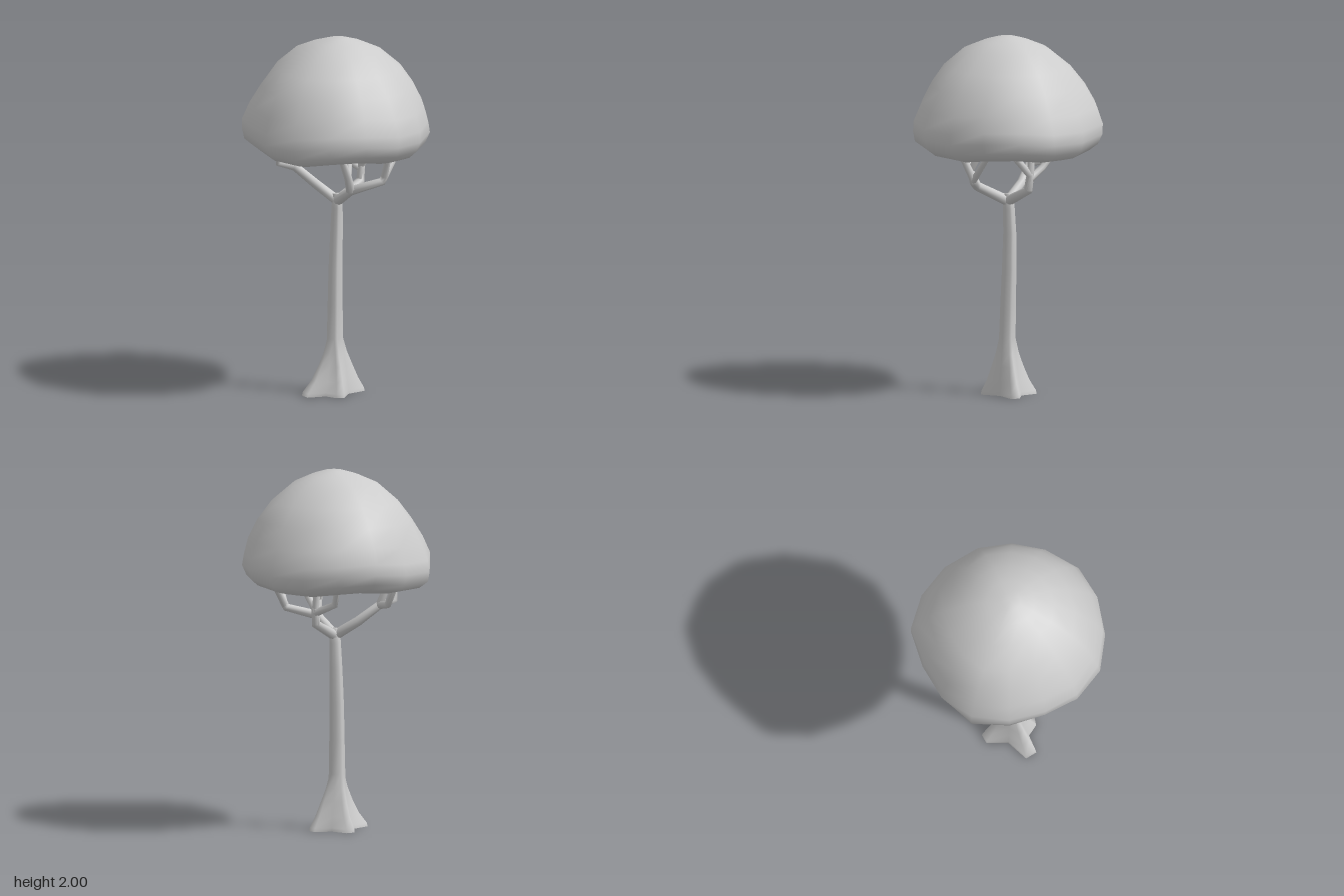
import * as THREE from 'three';

const V = (x, y, z) => new THREE.Vector3(x, y, z);

// Skin closed rings (listed from bottom to top), with optional end caps.
function loft(rings, capBottom, capTop) {
  const n = rings[0].length, pos = [], idx = [];
  rings.forEach(r => r.forEach(p => pos.push(p.x, p.y, p.z)));
  for (let i = 0; i < rings.length - 1; i++) {
    for (let j = 0; j < n; j++) {
      const a = i * n + j, b = i * n + (j + 1) % n;
      idx.push(a, a + n, b, b, a + n, b + n);
    }
  }
  const cap = (row, up) => {
    const c = pos.length / 3, mid = V(0, 0, 0);
    rings[row].forEach(p => mid.addScaledVector(p, 1 / n));
    pos.push(mid.x, mid.y, mid.z);
    for (let j = 0; j < n; j++) {
      const a = row * n + j, b = row * n + (j + 1) % n;
      if (up) idx.push(c, b, a); else idx.push(c, a, b);
    }
  };
  if (capBottom) cap(0, false);
  if (capTop) cap(rings.length - 1, true);
  const g = new THREE.BufferGeometry();
  g.setAttribute('position', new THREE.Float32BufferAttribute(pos, 3));
  g.setIndex(idx);
  g.computeVertexNormals();
  return g;
}

// Tapered limb following a bent path.
function limb(points, r0, r1, sides = 8) {
  const pts = points.map(p => V(...p)), last = pts.length - 1;
  const rings = pts.map((p, i) => {
    const t = V(0, 0, 0);
    if (i > 0) t.add(p.clone().sub(pts[i - 1]).normalize());
    if (i < last) t.add(pts[i + 1].clone().sub(p).normalize());
    const q = new THREE.Quaternion().setFromUnitVectors(V(0, 1, 0), t.normalize());
    const r = THREE.MathUtils.lerp(r0, r1, i / last);
    return Array.from({ length: sides }, (_, j) => {
      const a = j / sides * Math.PI * 2;
      return V(Math.cos(a) * r, 0, Math.sin(a) * r).applyQuaternion(q).add(p);
    });
  });
  return loft(rings, true, true);
}

export function createModel() {
  const tree = new THREE.Group();
  tree.name = 'tree';
  const mat = new THREE.MeshStandardMaterial({ color: 0xcccccc });
  const open = new THREE.MeshStandardMaterial({ color: 0xcccccc, side: THREE.DoubleSide });
  const add = (name, geo, m = mat) => {
    const mesh = new THREE.Mesh(geo, m);
    mesh.name = name;
    tree.add(mesh);
  };

  // Trunk: four root lobes at the open base merge into a slim round stem.
  const rootTips = [[0.15, -0.03], [-0.03, 0.135], [-0.205, 0.04], [-0.02, -0.165]];
  const base = [];
  rootTips.forEach(([x, z], k) => {
    const [nx, nz] = rootTips[(k + 1) % 4];
    const px = -z * 0.16, pz = x * 0.16; // half width of a root
    base.push(V(x - px, 0, z - pz), V(x + px, 0, z + pz));
    base.push(V((x + nx) * 0.4, 0, (z + nz) * 0.4));
  });
  // height, centre x, centre z, radius, root spread
  const stem = [
    [0, 0, 0, 0.05, 1], [0.02, 0, 0, 0.05, 0.97], [0.08, -0.004, -0.002, 0.048, 0.66],
    [0.16, -0.008, -0.004, 0.046, 0.38], [0.23, -0.012, -0.006, 0.045, 0.17],
    [0.31, -0.015, -0.008, 0.046, 0], [0.5, -0.012, -0.012, 0.043, 0],
    [0.7, -0.008, -0.018, 0.04, 0], [0.9, -0.002, -0.02, 0.036, 0],
    [1.04, 0, -0.015, 0.032, 0], [1.12, 0, -0.01, 0.028, 0]];
  add('trunk', loft(stem.map(([y, cx, cz, r, s]) => base.map(b => {
    const a = Math.atan2(b.z, b.x);
    return V(THREE.MathUtils.lerp(cx + Math.cos(a) * r, b.x, s), y,
      THREE.MathUtils.lerp(cz + Math.sin(a) * r, b.z, s));
  })), false, true), open);

  // Three main branches from the fork, each splitting into twigs.
  const fork = [0, 1.08, -0.01];
  const frontFork = [0.02, 1.17, 0.165], sideFork = [0.16, 1.165, -0.1], backFork = [-0.2, 1.255, -0.16];
  add('frontBranch', limb([fork, frontFork, [0.19, 1.22, 0.205], [0.2, 1.25, 0.215], [0.205, 1.39, 0.28]], 0.029, 0.018));
  add('frontTwigOuter', limb([[0.195, 1.23, 0.21], [0.31, 1.39, 0.14]], 0.02, 0.017));
  add('frontTwigInner', limb([frontFork, [-0.005, 1.25, 0.2], [-0.06, 1.38, 0.24]], 0.026, 0.018));
  add('frontTwigMiddle', limb([[-0.005, 1.25, 0.2], [0.02, 1.37, 0.14]], 0.02, 0.017));
  add('sideBranch', limb([fork, sideFork, [0.17, 1.25, -0.11], [0.2, 1.38, 0.0]], 0.029, 0.018));
  add('sideTwigUpper', limb([sideFork, [0.17, 1.25, -0.11], [0.16, 1.38, -0.12]], 0.024, 0.018));
  add('sideTwigBack', limb([[0.17, 1.23, -0.11], [0.09, 1.28, -0.19], [0.11, 1.38, -0.26]], 0.022, 0.017));
  add('backBranch', limb([fork, [-0.1, 1.165, -0.1], backFork, [-0.29, 1.28, -0.16], [-0.295, 1.39, -0.16]], 0.029, 0.019));
  add('backTwig', limb([backFork, [-0.2, 1.27, -0.26], [-0.22, 1.39, -0.32]], 0.022, 0.018));
  add('backTwigUpper', limb([backFork, [-0.24, 1.38, -0.19]], 0.022, 0.018));

  // Crown: an uneven outline carried up a dome profile, with slight dents.
  const outline = [0.523, 0.507, 0.51, 0.52, 0.517, 0.52, 0.535, 0.525,
    0.512, 0.53, 0.555, 0.53, 0.522, 0.547, 0.53, 0.527];
  const profile = [[0.4, 1.34], [0.72, 1.357], [0.88, 1.378], [0.965, 1.415], [1, 1.47], [0.99, 1.53],
    [0.93, 1.62], [0.82, 1.73], [0.675, 1.83], [0.45, 1.93], [0.25, 1.975], [0.1, 1.998]];
  add('crown', loft(profile.map(([s, y], i) => outline.map((r, j) => {
    const a = j / outline.length * Math.PI * 2;
    const dent = 1 + 0.018 * Math.sin(3 * a + i * 0.9) * (i === 4 ? 0 : 1);
    const wave = i < 7 ? 0.013 * Math.sin(4 * a + 1) : 0;
    const d = r * s * dent;
    return V(Math.cos(a) * d, y + wave, Math.sin(a) * d);
  })), true, true));

  return tree;
}
